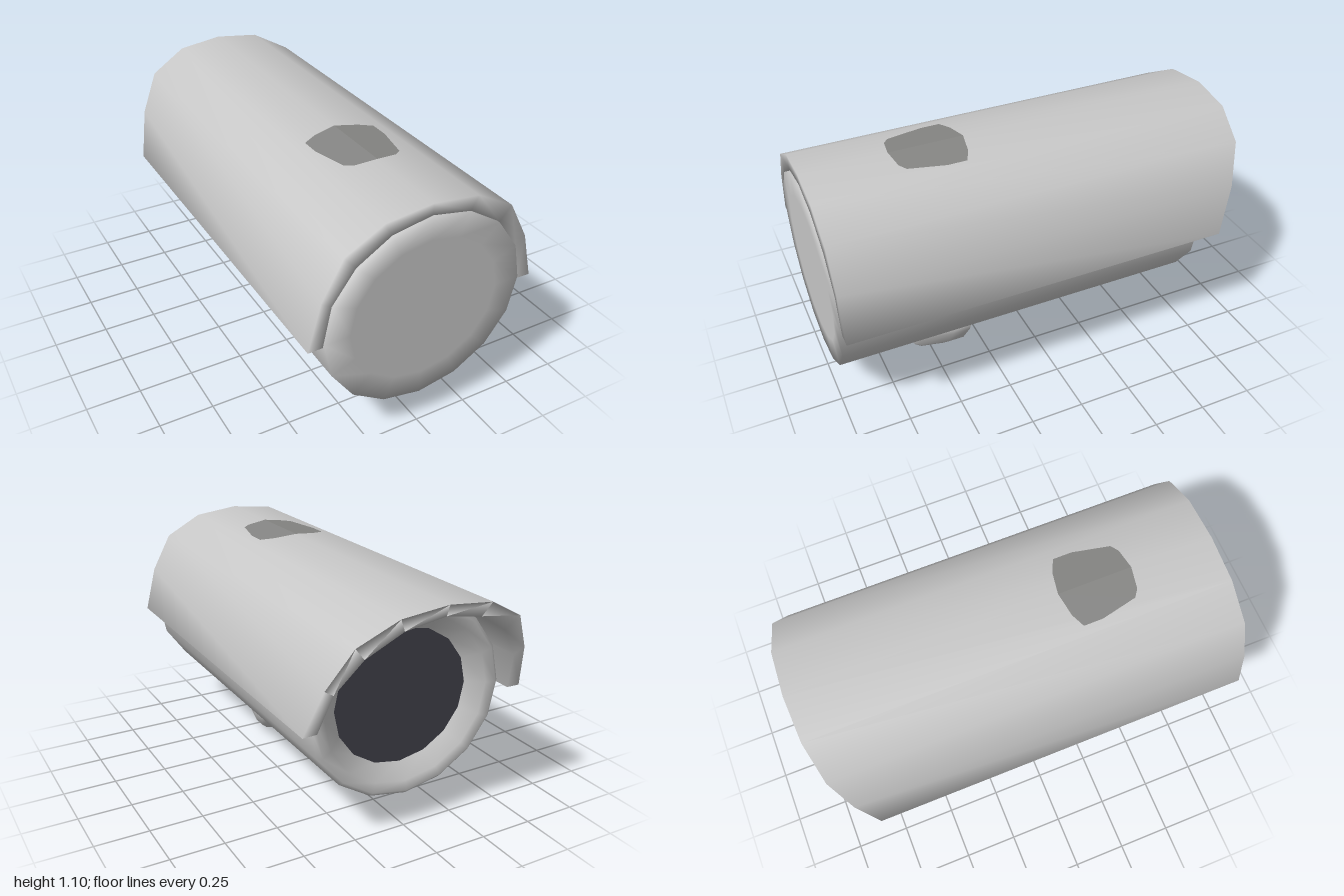
import * as THREE from 'three';

// Smooth skin over rings of equal length; rings run counter-clockwise seen from the first ring
function loft(rings, closed = true) {
  const n = rings[0].length, index = [];
  for (let k = 0; k < rings.length - 1; k++) {
    for (let i = 0; i < n; i++) {
      const j = (i + 1) % n;
      const a = k * n + i, b = k * n + j, c = a + n, d = b + n;
      index.push(a, c, b, b, c, d);
    }
  }
  const g = new THREE.BufferGeometry();
  g.setAttribute('position', new THREE.Float32BufferAttribute(rings.flat(2), 3));
  g.setIndex(index);
  return g;
}

function addMesh(group, name, geometry, material) {
  geometry.computeVertexNormals();
  const mesh = new THREE.Mesh(geometry, material);
  mesh.name = name;
  group.add(mesh);
}

function makeMaterial(name, color) {
  const m = new THREE.MeshStandardMaterial({ color });
  m.name = name;
  return m;
}

// Sixteen-sided oval section of the camera body
const CENTRE_Y = 0.605;
function oval(scale, z) {
  return Array.from({ length: 16 }, (_, i) => {
    const a = (i / 16) * Math.PI * 2;
    return [0.472 * scale * Math.cos(a), CENTRE_Y + 0.44 * scale * Math.sin(a), z];
  });
}

export function createModel() {
  const model = new THREE.Group();
  model.name = 'securityCamera';
  const grey = makeMaterial('lightGrey', 0xc8c8c8);
  const glass = makeMaterial('darkGlass', 0x42424b);
  const patchGrey = makeMaterial('midGrey', 0x868684);
  patchGrey.side = THREE.DoubleSide;

  // Body: flat front cap, long barrel, rounded lip and a recess down to the lens
  addMesh(model, 'body', loft([
    oval(0, 1), oval(0.75, 1), oval(1, 1), oval(1, -0.75),
    oval(0.96, -0.765), oval(0.86, -0.755), oval(0.7, -0.7),
  ]), grey);
  addMesh(model, 'lens', loft([oval(0.7, -0.7), oval(0, -0.7)].reverse()
    .map((r) => r.map(([x, y, z]) => [-x, y, z]))), glass);

  // Hood: thick arch over the body with a slanted rear edge
  const right = [[0.54, 0.59], [0.485, 0.805], [0.39, 0.98], [0.215, 1.075]];
  const outer = [...right, [0, 1.1], ...right.map(([x, y]) => [-x, y]).reverse()];
  const inner = oval(1.006, 0).slice(0, 9).reverse().map(([x, y]) => [x, y]);
  inner[0][1] = inner[8][1] = 0.592;
  const section = [...outer, ...inner];
  const slant = (y) => -0.82 - (y - 0.59) * 0.353;
  const hood = loft([
    section.map(([x, y]) => [x, y, 0.995]),
    section.map(([x, y]) => [x, y, slant(y)]),
  ]);
  // Close both ends between the outer and inner arch
  const index = [...hood.index.array];
  for (let i = 0; i < 8; i++) {
    const a = i, b = i + 1, c = 17 - i, d = 16 - i;
    index.push(a, b, c, b, d, c);
    index.push(a + 18, c + 18, b + 18, b + 18, c + 18, d + 18);
  }
  hood.setIndex(index);
  addMesh(model, 'hood', hood, grey);

  // Top patch: two thin halves folded along the ridge of the hood
  const half = [[0, 0.25], [0.11, 0.27], [0.172, 0.3], [0.172, 0.39], [0.135, 0.56], [0.1, 0.585], [0, 0.6]];
  for (const side of [1, -1]) {
    const g = new THREE.ShapeGeometry(new THREE.Shape(
      half.map(([x, z]) => new THREE.Vector2(side * x, -z))));
    const p = g.attributes.position;
    for (let i = 0; i < p.count; i++) {
      const x = p.getX(i), z = -p.getY(i);
      p.setXYZ(i, x, 1.103 - 0.116 * Math.abs(x), z);
    }
    addMesh(model, side > 0 ? 'topPatchLeft' : 'topPatchRight', g, patchGrey);
  }

  // Mount: rounded foot that tapers to a small dimple; outline as [x, z] in -1..1
  const halfOutline = [[0, 1], [0.6, 0.9], [0.8, 0.7], [1, -0.2], [1, -0.7], [0.65, -0.88], [0, -1]];
  const outline = [...halfOutline, ...halfOutline.slice(1, -1).reverse().map(([x, z]) => [-x, z])];
  const levels = [ // y, half width, rear z, front z
    [0.19, 0, 0.43, 0.43], [0.187, 0.19, 0.25, 0.62], [0.12, 0.18, 0.27, 0.617],
    [0.06, 0.16, 0.305, 0.605], [0.022, 0.12, 0.35, 0.585], [0.004, 0.08, 0.39, 0.56],
    [0, 0.05, 0.42, 0.535], [0.008, 0.035, 0.44, 0.52], [0.008, 0, 0.48, 0.48],
  ];
  addMesh(model, 'mountFoot', loft(levels.map(([y, w, z0, z1]) =>
    outline.map(([x, z]) => [x * w, y, (z0 + z1) / 2 + z * (z1 - z0) / 2]))), grey);

  return model;
}
